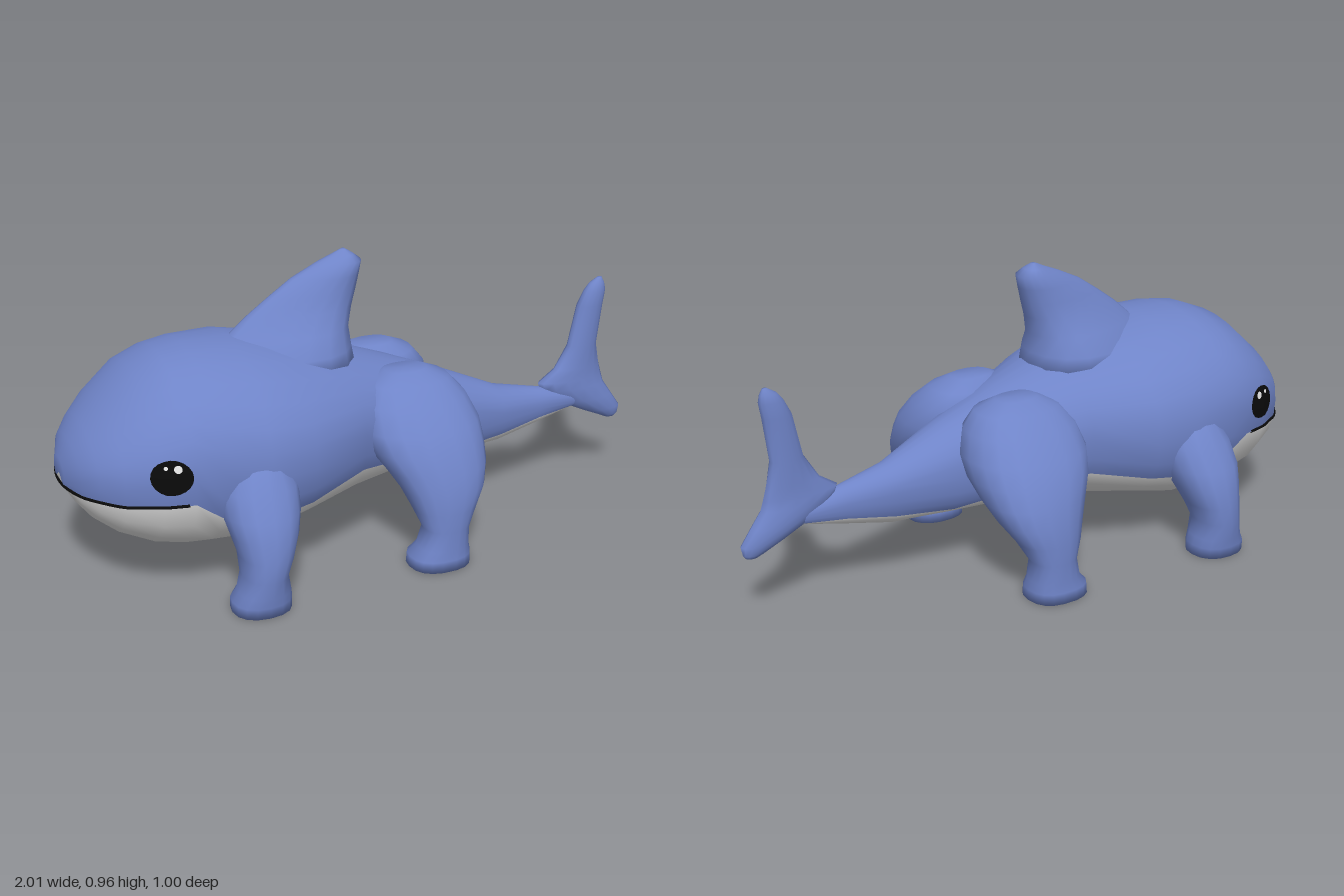
import * as THREE from 'three';

const mat = (name, color, side = THREE.FrontSide) => {
  const m = new THREE.MeshStandardMaterial({ color, side });
  m.name = name;
  return m;
};

// Closed skin over a list of equal-length rings; isSecond(j) picks the second material
function loft(rings, isSecond = () => false) {
  const n = rings[0].length, pos = [], lists = [[], []];
  rings.forEach(r => r.forEach(p => pos.push(...p)));
  const last = (rings.length - 1) * n;
  for (const r of [rings[0], rings[rings.length - 1]])
    for (let k = 0; k < 3; k++) pos.push(r.reduce((s, p) => s + p[k], 0) / n);
  const c0 = rings.length * n, c1 = c0 + 1;
  for (let j = 0; j < n; j++) {
    const k = (j + 1) % n, out = lists[isSecond(j) ? 1 : 0];
    for (let i = 0; i < last; i += n)
      out.push(i + j, i + n + j, i + k, i + k, i + n + j, i + n + k);
    out.push(c0, j, k, c1, last + k, last + j);
  }
  const g = new THREE.BufferGeometry();
  g.setAttribute('position', new THREE.Float32BufferAttribute(pos, 3));
  g.setIndex([...lists[0], ...lists[1]]);
  g.addGroup(0, lists[0].length, 0);
  if (lists[1].length) g.addGroup(lists[0].length, lists[1].length, 1);
  g.computeVertexNormals();
  return g;
}

const pw = (v, p) => Math.sign(v) * Math.abs(v) ** (2 / p);

// Upright loft from horizontal slices [y, x0, x1, z0, z1]; taper thins the -x edge
function slices(rows, n = 16, p = 2, taper = 0) {
  return loft(rows.map(([y, x0, x1, z0, z1]) => Array.from({ length: n }, (_, j) => {
    const a = j / n * Math.PI * 2, c = Math.cos(a);
    return [(x0 + x1) / 2 + (x1 - x0) / 2 * pw(c, p), y,
      (z0 + z1) / 2 + (z1 - z0) / 2 * pw(Math.sin(a), p) * (1 + taper * c)];
  })));
}

// Body stations: x, top, bottom, half width, height of widest point, belly line
const BODY = [
  [-1, 0.42, 0.335, 0.06, 0.375, 0.342], [-0.97, 0.48, 0.285, 0.155, 0.39, 0.343],
  [-0.93, 0.53, 0.235, 0.215, 0.4, 0.345], [-0.87, 0.59, 0.19, 0.28, 0.41, 0.346],
  [-0.77, 0.68, 0.145, 0.335, 0.42, 0.35], [-0.68, 0.717, 0.125, 0.357, 0.43, 0.35],
  [-0.6, 0.73, 0.118, 0.368, 0.43, 0.29], [-0.45, 0.73, 0.118, 0.385, 0.43, 0.25],
  [-0.3, 0.7, 0.155, 0.365, 0.43, 0.27], [-0.1, 0.645, 0.19, 0.28, 0.43, 0.315],
  [0.1, 0.575, 0.197, 0.18, 0.41, 0.27], [0.3, 0.495, 0.2, 0.12, 0.37, 0.225],
  [0.5, 0.405, 0.21, 0.075, 0.32, 0.247], [0.66, 0.37, 0.245, 0.045, 0.31, 0.272],
  [0.8, 0.345, 0.28, 0.035, 0.315, 0.287],
];
const LOW = 2.5; // fuller curve under the widest line
const BACK = 18, BELLY = 10;

function bodyRing([x, top, bottom, w, mid, line]) {
  const t = Math.asin(((mid - line) / (mid - bottom)) ** (LOW / 2));
  return Array.from({ length: BACK + BELLY }, (_, j) => {
    const a = j <= BACK ? -t + (Math.PI + 2 * t) * j / BACK
      : Math.PI + t + (Math.PI - 2 * t) * (j - BACK) / BELLY;
    const s = Math.sin(a), c = Math.cos(a), p = s < 0 ? LOW : 2;
    return [x, mid + pw(s, p) * (s < 0 ? mid - bottom : top - mid), w * pw(c, p)];
  });
}

// Station values at any x, and half width of the skin at (x, y)
function station(x) {
  let i = 0;
  while (i < BODY.length - 2 && BODY[i + 1][0] < x) i++;
  const a = BODY[i], b = BODY[i + 1], t = (x - a[0]) / (b[0] - a[0]);
  return a.map((v, k) => v + (b[k] - v) * t);
}
function sideZ(x, y) {
  const [, top, bottom, w, mid] = station(x);
  const p = y < mid ? LOW : 2, h = y < mid ? mid - bottom : top - mid;
  return w * Math.max(0, 1 - Math.abs((y - mid) / h) ** p) ** (1 / p);
}

// Thin oval laid on the flank
function decal(x, y, rx, ry, lift, side) {
  const g = new THREE.RingGeometry(0, 1, 20, 3), p = g.attributes.position;
  for (let i = 0; i < p.count; i++) {
    const px = x + p.getX(i) * rx, py = y + p.getY(i) * ry;
    p.setXYZ(i, px, py, side * (sideZ(px, py) + lift));
  }
  g.computeVertexNormals();
  return g;
}

export function createModel() {
  const model = new THREE.Group();
  model.name = 'walkingShark';
  const blue = mat('blueSkin', 0x6f84c8);
  const pale = mat('paleBelly', 0xdcdcdc);
  const black = mat('black', 0x0a0a0a, THREE.DoubleSide);
  const white = mat('eyeGlint', 0xffffff, THREE.DoubleSide);
  const add = (name, geometry, material) => {
    const m = new THREE.Mesh(geometry, material);
    m.name = name;
    model.add(m);
  };

  // Body with pale underside
  add('body', loft(BODY.map(bodyRing), j => j >= BACK), [blue, pale]);

  // Dorsal fin
  add('dorsalFin', slices([
    [0.58, -0.6, -0.03, 0.17], [0.66, -0.53, -0.045, 0.15], [0.72, -0.45, -0.05, 0.11],
    [0.78, -0.38, -0.035, 0.08], [0.83, -0.31, -0.02, 0.066], [0.88, -0.235, -0.008, 0.058],
    [0.92, -0.15, 0, 0.05], [0.94, -0.1, -0.025, 0.03], [0.956, -0.065, -0.05, 0.008],
  ].map(([y, a, b, w]) => [y, a, b, -w, w]), 18, 2, 0.4), blue);

  // Upright tail fin
  add('tailFin', slices([
    [0.21, 0.945, 0.985, 0.012], [0.222, 0.92, 0.994, 0.022], [0.25, 0.855, 1, 0.032],
    [0.3, 0.75, 0.965, 0.04], [0.35, 0.68, 0.93, 0.04], [0.38, 0.67, 0.92, 0.036],
    [0.42, 0.73, 0.908, 0.034], [0.5, 0.78, 0.89, 0.032], [0.64, 0.81, 0.907, 0.03],
    [0.69, 0.835, 0.915, 0.026], [0.715, 0.855, 0.91, 0.018], [0.734, 0.885, 0.9, 0.006],
  ].map(([y, a, b, w]) => [y, a, b, -w, w]), 14), blue);

  // Legs: slices from sole to shoulder, mirrored across the body
  const front = [
    [0, -0.6, -0.415, 0.32, 0.487], [0.035, -0.6, -0.415, 0.32, 0.49],
    [0.065, -0.58, -0.42, 0.325, 0.495], [0.12, -0.568, -0.43, 0.325, 0.5],
    [0.18, -0.57, -0.405, 0.3, 0.5], [0.24, -0.585, -0.38, 0.26, 0.487],
    [0.3, -0.6, -0.36, 0.2, 0.468], [0.37, -0.6, -0.35, 0.15, 0.425],
    [0.43, -0.57, -0.37, 0.12, 0.385], [0.5, -0.52, -0.42, 0.1, 0.3],
  ];
  const hind = [
    [0, 0.01, 0.212, 0.275, 0.45], [0.035, 0.012, 0.212, 0.28, 0.447],
    [0.065, 0.04, 0.205, 0.295, 0.443], [0.13, 0.055, 0.203, 0.31, 0.442],
    [0.19, 0.03, 0.235, 0.27, 0.44], [0.25, 0.005, 0.275, 0.215, 0.432],
    [0.31, -0.03, 0.3, 0.14, 0.415], [0.37, -0.07, 0.312, 0.06, 0.39],
    [0.43, -0.09, 0.312, 0.02, 0.355], [0.5, -0.08, 0.285, 0.01, 0.295],
    [0.55, -0.04, 0.24, 0.03, 0.235], [0.58, 0.03, 0.17, 0.08, 0.18],
  ];
  for (const [side, label] of [[1, 'left'], [-1, 'right']]) {
    const flip = rows => side > 0 ? rows : rows.map(([y, a, b, c, d]) => [y, a, b, -d, -c]);
    add(label + 'FrontLeg', slices(flip(front), 16, 2.3), blue);
    add(label + 'HindLeg', slices(flip(hind), 18, 2.4), blue);
    // Eye with two glints
    add(label + 'Eye', decal(-0.748, 0.445, 0.06, 0.054, 0.006, side), black);
    add(label + 'EyeGlint', decal(-0.731, 0.473, 0.012, 0.012, 0.009, side), white);
    add(label + 'EyeSmallGlint', decal(-0.765, 0.478, 0.006, 0.006, 0.009, side), white);
  }

  // Mouth line wrapping the snout
  const xs = [-0.7, -0.77, -0.82, -0.87, -0.93, -0.97, -0.998];
  const half = xs.map(x => {
    const y = station(x)[5];
    return new THREE.Vector3(x, y, sideZ(x, y));
  });
  const other = half.map(v => new THREE.Vector3(v.x, v.y, -v.z)).reverse();
  const path = new THREE.CatmullRomCurve3([...half, ...other], false, 'centripetal');
  add('mouth', new THREE.TubeGeometry(path, 48, 0.005, 6), black);
  return model;
}
